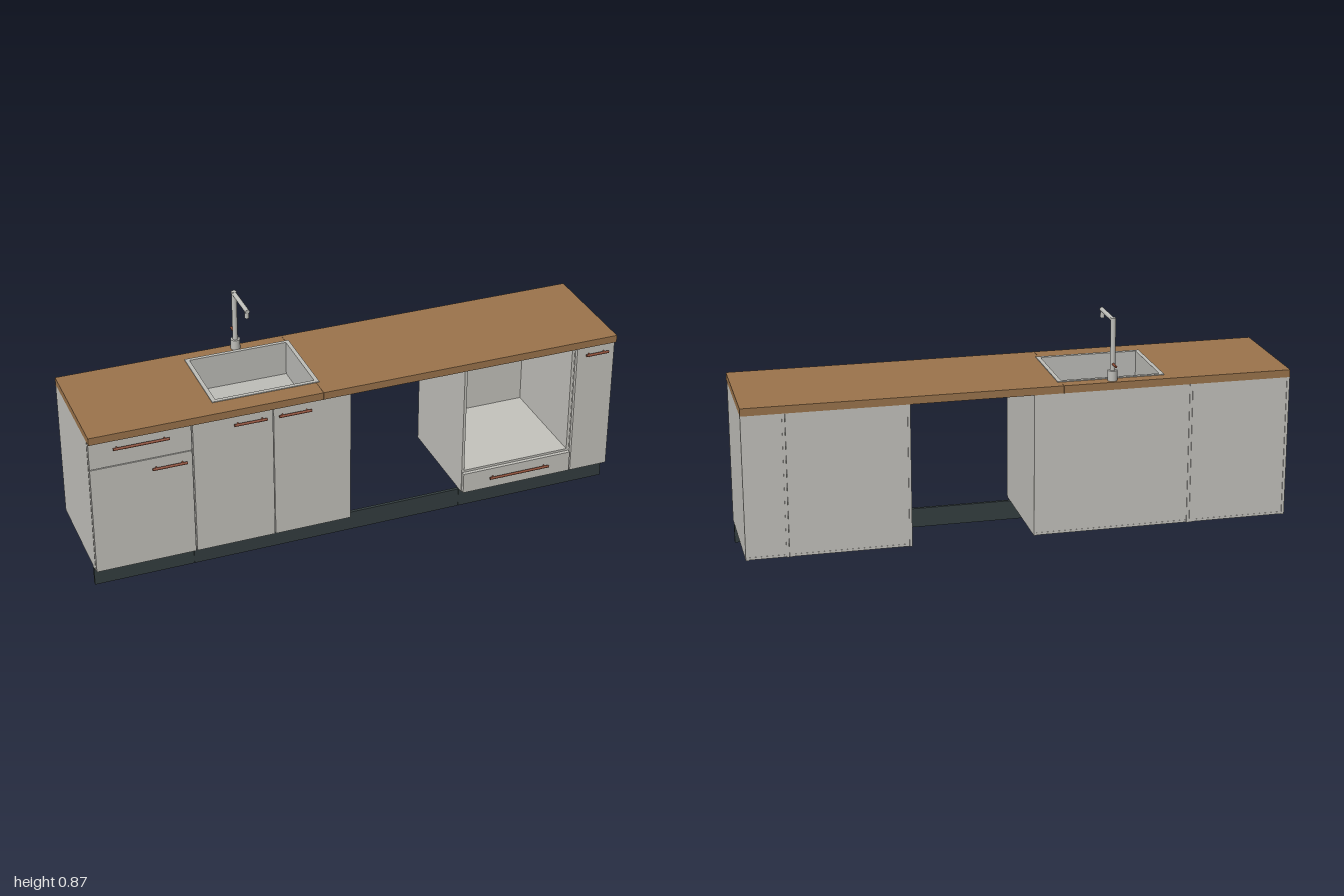
import * as THREE from 'three';

const mat = (name, color, extra = {}) => {
  const m = new THREE.MeshStandardMaterial({ color, ...extra });
  m.name = name;
  return m;
};

export function createModel() {
  const root = new THREE.Group();
  root.name = 'kitchenUnit';
  const panel = mat('paleGreyPanel', 0xc4c3bd);
  const wood = mat('wood', 0x9b744c);
  const plinthMat = mat('darkPlinth', 0x343e40);
  const steel = mat('steel', 0xbebeb9);
  const copper = mat('copper', 0x8a4b35);
  const dark = mat('darkDrain', 0x3c3c3c);

  // Box given by its limits on each axis
  const box = (name, material, x0, x1, y0, y1, z0, z1, parent = root) => {
    const m = new THREE.Mesh(new THREE.BoxGeometry(x1 - x0, y1 - y0, z1 - z0), material);
    m.position.set((x0 + x1) / 2, (y0 + y1) / 2, (z0 + z1) / 2);
    m.name = name;
    parent.add(m);
    return m;
  };

  // Straight rod between two points
  const rod = (name, material, a, b, r, parent = root, sides = 24) => {
    const p = new THREE.Vector3(...a), q = new THREE.Vector3(...b);
    const d = q.clone().sub(p);
    const m = new THREE.Mesh(new THREE.CylinderGeometry(r, r, d.length(), sides), material);
    m.position.copy(p).add(q).multiplyScalar(0.5);
    m.quaternion.setFromUnitVectors(new THREE.Vector3(0, 1, 0), d.normalize());
    m.name = name;
    parent.add(m);
    return m;
  };

  // Open-topped carcasses made of panels
  const BACK = -0.213, FRONT = 0.2, BOT = 0.076, TOP = 0.609, T = 0.01;
  const carcass = (name, x0, x1) => {
    const g = new THREE.Group();
    g.name = name;
    box('leftSide', panel, x1 - T, x1, BOT, TOP, BACK, FRONT, g);
    box('rightSide', panel, x0, x0 + T, BOT, TOP, BACK, FRONT, g);
    box('floor', panel, x0 + T, x1 - T, BOT + 0.001, BOT + T, BACK + 0.002, FRONT - 0.001, g);
    box('backPanel', panel, x0 + T, x1 - T, BOT + T, TOP, BACK + 0.003, BACK + 0.008, g);
    root.add(g);
    return g;
  };
  carcass('drawerCabinet', -1, -0.631);
  carcass('sinkCabinet', -0.63, -0.042);
  const oven = carcass('ovenCabinet', 0.405, 0.845);
  carcass('narrowCabinet', 0.846, 1);
  box('ovenShelf', panel, 0.415, 0.835, 0.158, 0.168, BACK + 0.008, FRONT, oven);

  // Doors and drawer fronts: x0, x1, y0, y1
  [
    ['topDrawerFront', -0.999, -0.633, 0.503, 0.607],
    ['lowerDoor', -0.999, -0.633, 0.079, 0.5],
    ['sinkDoorRight', -0.628, -0.335, 0.079, 0.607],
    ['sinkDoorLeft', -0.332, -0.043, 0.079, 0.607],
    ['ovenDrawerFront', 0.407, 0.843, 0.079, 0.16],
    ['narrowDoor', 0.848, 0.999, 0.079, 0.607],
  ].forEach(([n, x0, x1, y0, y1]) => box(n, panel, x0, x1, y0, y1, 0.201, 0.215));

  // Bar handles on two posts: x0, x1, y
  [
    [-0.915, -0.715, 0.575], [-0.78, -0.655, 0.463], [-0.48, -0.36, 0.575],
    [-0.315, -0.195, 0.575], [0.51, 0.75, 0.126], [0.88, 0.97, 0.575],
  ].forEach(([x0, x1, y]) => {
    const g = new THREE.Group();
    g.name = 'handle';
    rod('bar', copper, [x0, y, 0.228], [x1, y, 0.228], 0.005, g, 16);
    for (const x of [x0 + 0.015, x1 - 0.015]) rod('post', copper, [x, y, 0.214], [x, y, 0.228], 0.003, g, 12);
    root.add(g);
  });

  // Plinth in three lengths
  [[-1, -0.631], [-0.63, 0.404], [0.405, 1]].forEach(([a, b]) =>
    box('plinth', plinthMat, a, b, 0, 0.074, 0.165, 0.177));

  // Worktop, left open around the bowl
  const W0 = 0.609, W1 = 0.637, WB = -0.214, WF = 0.228;
  box('worktopEnd', wood, -1, -0.525, W0, W1, WB, WF);
  box('worktopFrontStrip', wood, -0.525, -0.1505, W0, W1, 0.143, WF);
  box('worktopBackStrip', wood, -0.525, -0.1505, W0, W1, WB, -0.16);
  box('worktopMain', wood, -0.1495, 1, W0, W1, WB, WF);

  // Sink: flat rim, four walls and a floor
  const sink = new THREE.Group();
  sink.name = 'sink';
  root.add(sink);
  const sx0 = -0.52, sx1 = -0.153, sz0 = -0.155, sz1 = 0.138, sy = 0.505, st = 0.004;
  const rect = (C, x0, x1, z0, z1) => new C([[x0, -z1], [x1, -z1], [x1, -z0], [x0, -z0]].map(p => new THREE.Vector2(...p)));
  const rimShape = rect(THREE.Shape, -0.535, -0.138, -0.169, 0.153);
  rimShape.holes.push(rect(THREE.Path, sx0, sx1, sz0, sz1));
  const rim = new THREE.Mesh(new THREE.ExtrudeGeometry(rimShape, { depth: 0.003, bevelEnabled: false }), steel);
  rim.rotation.x = -Math.PI / 2;
  rim.position.y = W1;
  rim.name = 'rim';
  sink.add(rim);
  box('wall', steel, sx0 - st, sx0, sy, W1, sz0 - st, sz1 + st, sink);
  box('wall', steel, sx1, sx1 + 0.0025, sy, W1, sz0 - st, sz1 + st, sink);
  box('wall', steel, sx0, sx1, sy, W1, sz0 - st, sz0, sink);
  box('wall', steel, sx0, sx1, sy, W1, sz1, sz1 + st, sink);
  box('floor', steel, sx0, sx1, sy, sy + st, sz0, sz1, sink);
  rod('drain', dark, [-0.335, sy + st, -0.007], [-0.335, sy + st + 0.002, -0.007], 0.023, sink, 32);

  // Tap
  const tap = new THREE.Group();
  tap.name = 'tap';
  root.add(tap);
  const tx = -0.335, tz = -0.188;
  rod('base', steel, [tx, W1, tz], [tx, 0.675, tz], 0.0175, tap, 32);
  rod('stem', steel, [tx, 0.675, tz], [tx, 0.868, tz], 0.0095, tap);
  rod('spout', steel, [tx, 0.86, tz], [tx, 0.86, -0.037], 0.008, tap);
  rod('nozzle', steel, [tx, 0.832, -0.047], [tx, 0.86, -0.047], 0.0078, tap);
  rod('lever', copper, [tx, 0.699, tz], [tx, 0.699, -0.232], 0.0045, tap, 16);

  return root;
}
